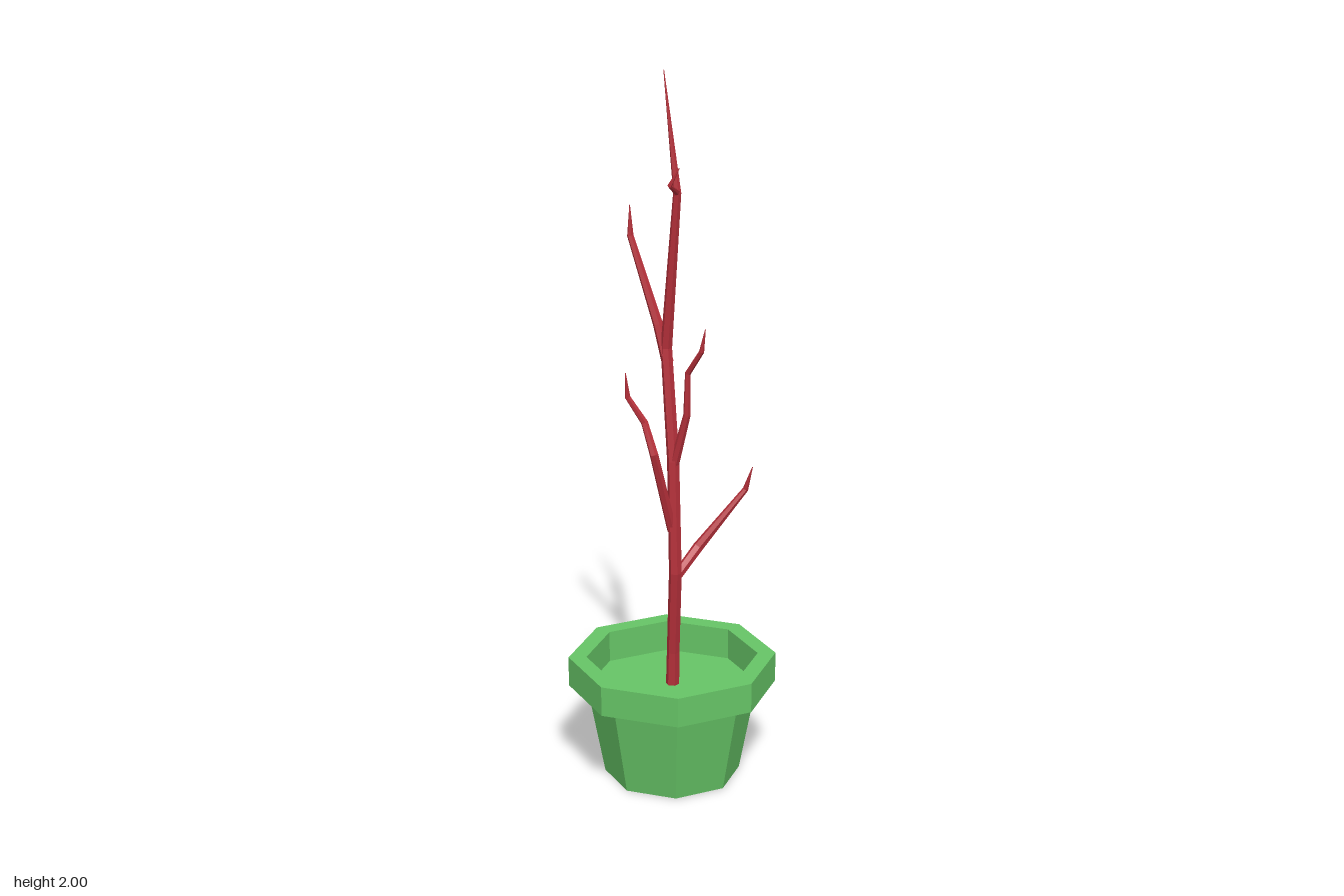
import * as THREE from 'three';

const SIDES = 6;

// Faceted limb through points [x, y, z, radius], tapering along its length
function limb(name, points, material) {
  const centres = points.map(p => new THREE.Vector3(p[0], p[1], p[2]));
  const ref = new THREE.Vector3(0, 0, 1);
  const positions = [], index = [];
  centres.forEach((c, i) => {
    const t = new THREE.Vector3();
    if (i > 0) t.add(c.clone().sub(centres[i - 1]).normalize());
    if (i < centres.length - 1) t.add(centres[i + 1].clone().sub(c).normalize());
    t.normalize();
    const u = t.clone().cross(ref).normalize();
    const v = u.clone().cross(t);
    for (let s = 0; s < SIDES; s++) {
      const a = (s / SIDES) * Math.PI * 2;
      const p = c.clone()
        .addScaledVector(u, Math.cos(a) * points[i][3])
        .addScaledVector(v, Math.sin(a) * points[i][3]);
      positions.push(p.x, p.y, p.z);
      if (i < centres.length - 1) {
        const n = (s + 1) % SIDES;
        const a0 = i * SIDES + s, b0 = i * SIDES + n;
        const a1 = a0 + SIDES, b1 = b0 + SIDES;
        index.push(a0, a1, b0, b0, a1, b1);
      }
    }
  });
  const geometry = new THREE.BufferGeometry();
  geometry.setAttribute('position', new THREE.Float32BufferAttribute(positions, 3));
  geometry.setIndex(index);
  geometry.computeVertexNormals();
  const mesh = new THREE.Mesh(geometry, material);
  mesh.name = name;
  return mesh;
}

export function createModel() {
  const model = new THREE.Group();
  model.name = 'pottedTree';
  const green = new THREE.MeshStandardMaterial({ color: 0x66c466, flatShading: true });
  const red = new THREE.MeshStandardMaterial({ color: 0xb5303a, flatShading: true });

  // Octagonal pot: base, tapered wall, overhanging rim and sunken soil
  const profile = [
    [0, 0], [0.19, 0], [0.24, 0.265], [0.29, 0.265],
    [0.29, 0.35], [0.24, 0.35], [0.24, 0.26], [0, 0.26],
  ].map(([r, y]) => new THREE.Vector2(r, y));
  const pot = new THREE.Mesh(new THREE.LatheGeometry(profile, 8), green);
  pot.name = 'pot';
  model.add(pot);

  // Trunk and branches
  const limbs = {
    trunk: [
      [0.007, 0.25, -0.005, 0.019], [0.004, 0.36, 0, 0.018], [-0.015, 0.61, 0.025, 0.018],
      [-0.005, 0.93, 0.008, 0.017], [0.013, 1.24, -0.033, 0.016],
      [-0.005, 1.68, 0.022, 0.011], [-0.004, 2, -0.026, 0.001],
    ],
    lowerLeftBranch: [
      [-0.015, 0.59, 0.022, 0.014], [0.085, 0.655, 0.02, 0.015],
      [0.195, 0.815, 0.098, 0.008], [0.198, 0.885, 0.12, 0.001],
    ],
    lowerRightBranch: [
      [-0.013, 0.73, 0.012, 0.014], [-0.085, 0.97, 0.01, 0.012],
      [-0.078, 1.05, -0.03, 0.01], [-0.102, 1.12, -0.07, 0.008], [-0.11, 1.19, -0.07, 0.001],
    ],
    frontBranch: [
      [-0.005, 0.91, 0.008, 0.014], [0, 1.07, 0.053, 0.01],
      [-0.002, 1.19, 0.058, 0.008], [0, 1.26, 0.105, 0.007], [0, 1.325, 0.118, 0.001],
    ],
    backBranch: [
      [0.013, 1.2, -0.028, 0.017], [0.012, 1.3, -0.062, 0.014],
      [0.01, 1.53, -0.16, 0.009], [0.01, 1.615, -0.162, 0.001],
    ],
    topTwig: [
      [-0.005, 1.68, 0.022, 0.009], [-0.068, 1.715, 0.052, 0.006], [-0.058, 1.765, 0.077, 0.001],
    ],
  };
  for (const [name, points] of Object.entries(limbs)) model.add(limb(name, points, red));

  return model;
}
